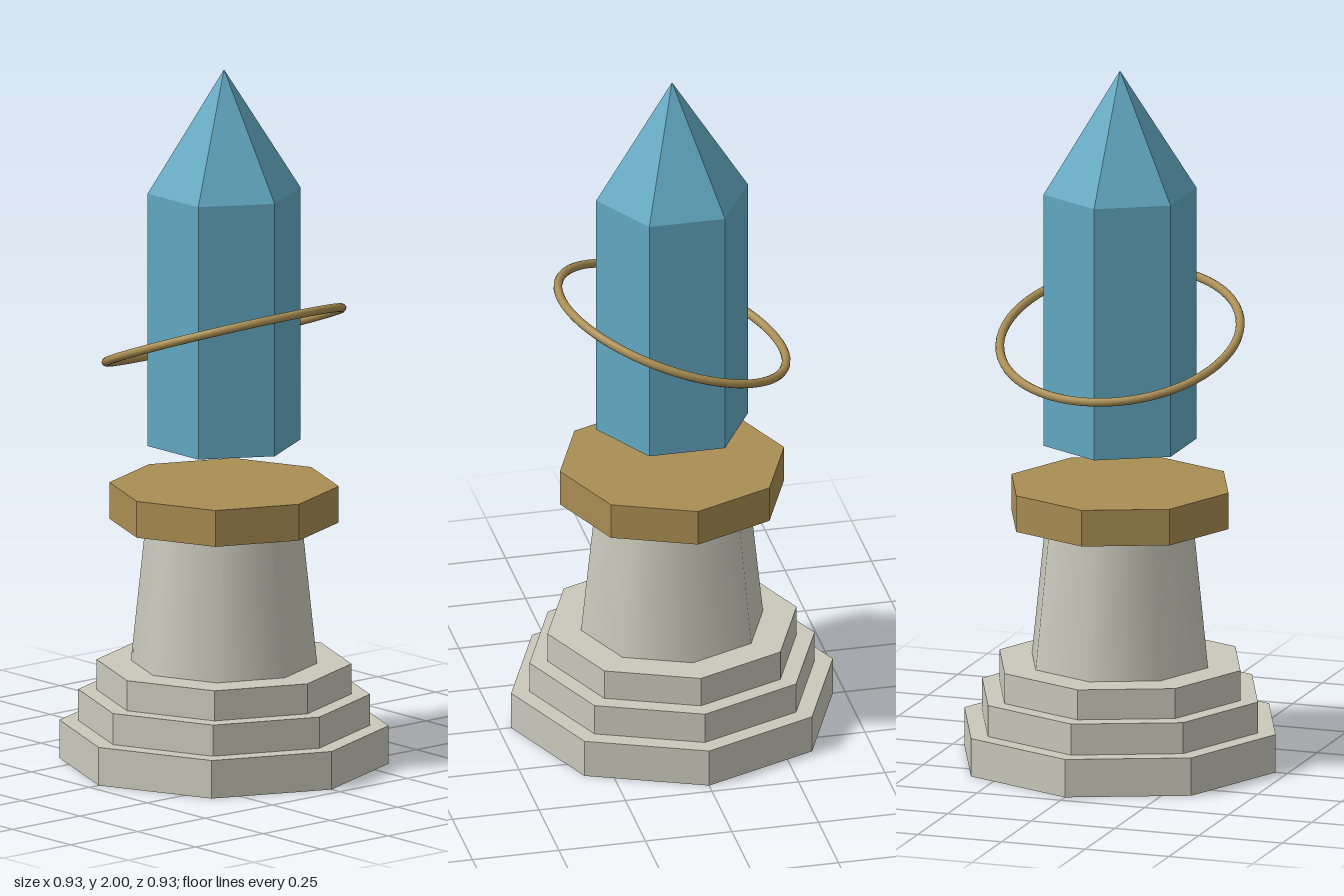
import * as THREE from 'three';

const STONE = 0xc9c8ba, GOLD = 0xa98d52, CRYSTAL = 0x62a9c2;

export function createModel() {
  const model = new THREE.Group();
  model.name = 'crystalPedestal';

  const stone = new THREE.MeshStandardMaterial({ color: STONE, flatShading: true });
  const smoothStone = new THREE.MeshStandardMaterial({ color: STONE });
  const gold = new THREE.MeshStandardMaterial({ color: GOLD, flatShading: true });
  const ringGold = new THREE.MeshStandardMaterial({ color: GOLD });
  const blue = new THREE.MeshStandardMaterial({ color: CRYSTAL, flatShading: true, side: THREE.DoubleSide });

  const add = (name, geometry, material, parent = model) => {
    const mesh = new THREE.Mesh(geometry, material);
    mesh.name = name;
    parent.add(mesh);
    return mesh;
  };

  // Upright prism or frustum between two heights
  const prism = (name, rBottom, rTop, y0, y1, sides, material, open = false, parent = model) => {
    const geometry = new THREE.CylinderGeometry(rTop, rBottom, y1 - y0, sides, 1, open);
    geometry.translate(0, (y0 + y1) / 2, 0);
    return add(name, geometry, material, parent);
  };

  // Three octagonal steps
  const steps = new THREE.Group();
  steps.name = 'baseSteps';
  model.add(steps);
  [[0.465, 0, 0.11], [0.412, 0.11, 0.2], [0.36, 0.2, 0.287]].forEach(([r, y0, y1], i) =>
    prism('step' + (i + 1), r, r, y0, y1, 8, stone, false, steps));

  // Tapered column and its gold capital
  prism('column', 0.263, 0.22, 0.287, 0.695, 8, smoothStone);
  prism('capital', 0.324, 0.324, 0.695, 0.8, 8, gold);

  // Floating hexagonal crystal, hollow below, with corners on the x axis
  const crystal = new THREE.Group();
  crystal.name = 'crystal';
  crystal.rotation.y = Math.PI / 6;
  model.add(crystal);
  prism('crystalShaft', 0.219, 0.219, 0.92, 1.65, 6, blue, true, crystal);
  const tip = new THREE.ConeGeometry(0.219, 0.35, 6, 1, true).translate(0, 1.825, 0);
  add('crystalTip', tip, blue, crystal);

  // Tilted ring around the crystal
  const ring = add('ring', new THREE.TorusGeometry(0.341, 0.0125, 10, 64).rotateX(Math.PI / 2), ringGold);
  ring.position.y = 1.232;
  ring.rotation.z = 0.35;

  return model;
}
